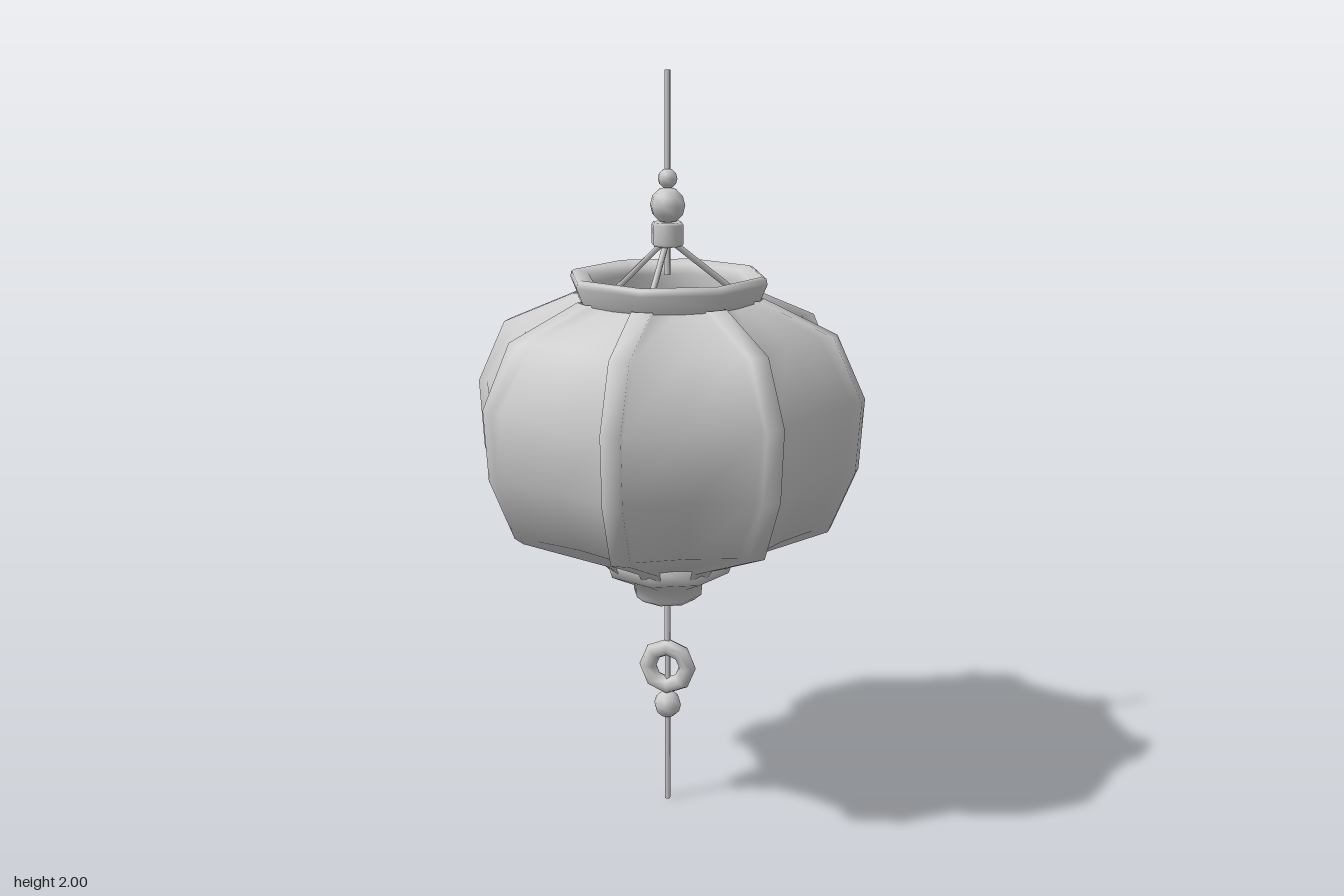
import * as THREE from 'three';

const material = new THREE.MeshStandardMaterial({ color: 0xcccccc, side: THREE.DoubleSide });

function addMesh(parent, name, geometry, x = 0, y = 0, z = 0) {
  const mesh = new THREE.Mesh(geometry, material);
  mesh.name = name;
  mesh.position.set(x, y, z);
  parent.add(mesh);
  return mesh;
}

// Thin rod between two points
function addRod(parent, name, from, to, radius = 0.008) {
  const a = new THREE.Vector3(...from);
  const dir = new THREE.Vector3(...to).sub(a);
  const rod = addMesh(parent, name, new THREE.CylinderGeometry(radius, radius, dir.length(), 6));
  rod.position.copy(a).addScaledVector(dir, 0.5);
  rod.quaternion.setFromUnitVectors(new THREE.Vector3(0, 1, 0), dir.normalize());
  return rod;
}

const lathe = (points) =>
  new THREE.LatheGeometry(points.map(([r, y]) => new THREE.Vector2(r, y)), 8);

// Ribbed shade: cross-sections with eight raised ribs and stretched panels between them
function shadeGeometry() {
  const ribs = 8;
  const halfWidth = 0.026;
  const step = (Math.PI * 2) / ribs;
  // height, rib radius, rib depth, panel sag
  const levels = [
    [0.67, 0.14, 0.015, 0],
    [0.72, 0.19, 0.025, 0.005],
    [0.825, 0.44, 0.04, 0.012],
    [0.99, 0.508, 0.03, 0.008],
    [1.175, 0.52, 0.023, 0],
    [1.34, 0.444, 0.04, 0.012],
    [1.425, 0.25, 0.03, 0.005],
  ];
  const positions = [];
  const indices = [];
  for (const [y, r, depth, sag] of levels) {
    const base = r - depth;
    const middle = base * Math.cos(step / 2) + halfWidth * Math.sin(step / 2) - sag;
    for (let k = 0; k < ribs; k++) {
      const a = k * step;
      const rib = [[base, -halfWidth], [r, -halfWidth], [r, halfWidth], [base, halfWidth]];
      for (const [radial, side] of rib) {
        positions.push(
          radial * Math.sin(a) + side * Math.cos(a), y,
          radial * Math.cos(a) - side * Math.sin(a));
      }
      const m = a + step / 2;
      positions.push(middle * Math.sin(m), y, middle * Math.cos(m));
    }
  }
  const n = ribs * 5;
  for (let i = 0; i < levels.length - 1; i++) {
    for (let j = 0; j < n; j++) {
      const a = i * n + j;
      const b = i * n + ((j + 1) % n);
      indices.push(a, b, b + n, a, b + n, a + n);
    }
  }
  const geometry = new THREE.BufferGeometry();
  geometry.setAttribute('position', new THREE.Float32BufferAttribute(positions, 3));
  geometry.setIndex(indices);
  geometry.computeVertexNormals();
  return geometry;
}

export function createModel() {
  const model = new THREE.Group();
  model.name = 'hangingLantern';

  // Shade with the open collar above and the closed cap below
  addMesh(model, 'ribbedShade', shadeGeometry());
  addMesh(model, 'topCollar', lathe([
    [0.21, 1.4], [0.24, 1.4], [0.25, 1.43], [0.265, 1.465], [0.262, 1.48],
    [0.25, 1.485], [0.215, 1.475], [0.205, 1.45], [0.21, 1.4],
  ]));
  addMesh(model, 'bottomCap', lathe([
    [0, 0.595], [0.075, 0.595], [0.095, 0.612], [0.097, 0.645],
    [0.17, 0.68], [0.187, 0.73], [0.15, 0.735], [0, 0.72],
  ]));

  // Hanger: three stays, a clamp, two beads and the cord
  const hanger = new THREE.Group();
  hanger.name = 'hanger';
  model.add(hanger);
  for (let i = 0; i < 3; i++) {
    const a = (i * Math.PI * 2) / 3;
    addRod(hanger, 'stay', [0, 1.575, 0], [0.2 * Math.sin(a), 1.415, 0.2 * Math.cos(a)]);
  }
  addMesh(hanger, 'clamp', lathe([
    [0, 1.555], [0.038, 1.555], [0.043, 1.562], [0.043, 1.61], [0.038, 1.617], [0, 1.617],
  ]));
  addMesh(hanger, 'largeBead', new THREE.SphereGeometry(0.047, 8, 6), 0, 1.66, 0);
  addMesh(hanger, 'smallBead', new THREE.SphereGeometry(0.026, 8, 6), 0, 1.728, 0);
  addRod(hanger, 'hangingCord', [0, 1.48, 0], [0, 2, 0]);

  // Pendant: cord, ring and bead
  const pendant = new THREE.Group();
  pendant.name = 'pendant';
  model.add(pendant);
  addRod(pendant, 'pendantCord', [0, 0, 0], [0, 0.61, 0]);
  addMesh(pendant, 'pendantRing', new THREE.TorusGeometry(0.056, 0.024, 8, 8), 0, 0.395, 0);
  addMesh(pendant, 'pendantBead', new THREE.SphereGeometry(0.038, 8, 6), 0, 0.284, 0);

  return model;
}
